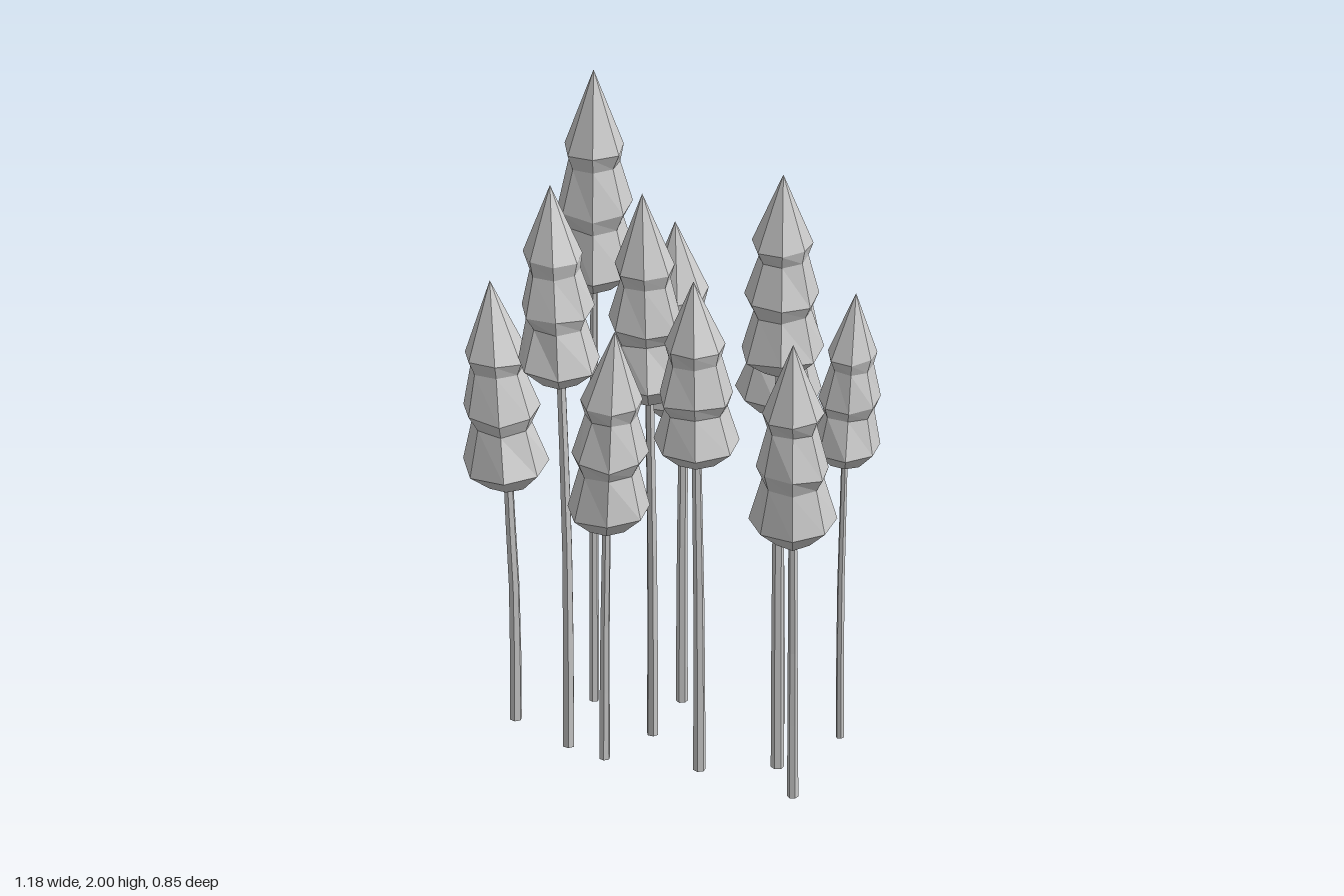
import * as THREE from 'three';

const material = new THREE.MeshStandardMaterial({ color: 0xcccccc, flatShading: true });

// Crown profile as [radius fraction, height fraction]: three stacked tiers, bottom to tip
const CROWN = [[0, 0], [0.5, 0.005], [1, 0.095], [0.71, 0.3], [0.88, 0.37], [0.6, 0.57], [0.72, 0.64], [0, 1]];

// Each tree: trunk foot [x, z], crown base [x, y, z], tip [x, y, z], crown radius, trunk radius
const TREES = [
  [[-0.445, -0.17], [-0.47, 0.745, -0.17], [-0.52, 1.375, -0.2], 0.124, 0.018],
  [[-0.228, -0.295], [-0.228, 1.32, -0.29], [-0.23, 2.0, -0.298], 0.123, 0.014],
  [[0.02, -0.3], [0.025, 0.9, -0.31], [0.0, 1.51, -0.323], 0.117, 0.017],
  [[0.3, -0.17], [0.295, 1.0, -0.175], [0.335, 1.57, -0.195], 0.12, 0.017],
  [[0.475, -0.09], [0.49, 0.87, -0.093], [0.52, 1.4, -0.11], 0.1, 0.012],
  [[-0.055, -0.09], [-0.065, 1.07, -0.09], [-0.085, 1.71, -0.1], 0.118, 0.017],
  [[-0.29, -0.01], [-0.315, 1.15, -0.025], [-0.345, 1.745, -0.075], 0.118, 0.018],
  [[-0.185, 0.065], [-0.178, 0.745, 0.09], [-0.155, 1.37, 0.095], 0.121, 0.016],
  [[0.085, 0.125], [0.076, 0.975, 0.12], [0.068, 1.545, 0.118], 0.122, 0.018],
  [[0.305, 0.1], [0.316, 1.265, 0.1], [0.322, 1.88, 0.1], 0.117, 0.019],
  [[0.355, 0.283], [0.356, 0.82, 0.303], [0.358, 1.455, 0.325], 0.12, 0.016],
];

// Seeded value in -1..1
function noise(n) {
  const s = Math.sin(n * 127.1 + 11.7) * 43758.5453;
  return 2 * (s - Math.floor(s)) - 1;
}

// Turned solid whose rings follow a bent axis, with small irregularities
function bentLathe(profile, sides, axisAt, seed, jitter) {
  const points = profile.map(([r, y]) => new THREE.Vector2(r, y));
  const geometry = new THREE.LatheGeometry(points, sides, seed * 0.9);
  const pos = geometry.attributes.position;
  const rings = profile.length;
  for (let i = 0; i < pos.count; i++) {
    const ring = i % rings;
    const [r, y] = profile[ring];
    const side = Math.floor(i / rings) % sides;
    const key = seed * 97 + ring * 13 + side;
    const k = 1 + jitter * noise(key);
    const [ax, az] = axisAt(y);
    const lift = r > 0 ? r * jitter * noise(key + 500) : 0;
    pos.setXYZ(i, ax + pos.getX(i) * k, y + lift, az + pos.getZ(i) * k);
  }
  geometry.computeVertexNormals();
  return geometry;
}

function createTree([foot, base, tip, radius, trunkRadius], index) {
  const tree = new THREE.Group();
  tree.name = `tree${index + 1}`;
  const height = tip[1] - base[1];
  const seed = index + 1;

  // Tiered crown leaning from its base to its tip
  const crownAxis = (y) => {
    const t = (y - base[1]) / height;
    return [base[0] + (tip[0] - base[0]) * t, base[2] + (tip[2] - base[2]) * t];
  };
  const crownProfile = CROWN.map(([r, h]) => [r * radius * 1.02, base[1] + h * height]);
  const crown = new THREE.Mesh(bentLathe(crownProfile, 7, crownAxis, seed, 0.06), material);
  crown.name = 'crown';

  // Slim trunk, bending mostly near the top, ending inside the crown
  const trunkTop = base[1] + 0.1;
  const trunkAxis = (y) => {
    const t = Math.min(1, y / base[1]) ** 3;
    return [foot[0] + (base[0] - foot[0]) * t, foot[1] + (base[2] - foot[1]) * t];
  };
  const trunkProfile = [[0, 0]];
  for (let i = 0; i <= 4; i++) {
    trunkProfile.push([trunkRadius * (1 - 0.06 * i), (trunkTop * i) / 4]);
  }
  const trunk = new THREE.Mesh(bentLathe(trunkProfile, 6, trunkAxis, seed, 0), material);
  trunk.name = 'trunk';

  tree.add(trunk, crown);
  return tree;
}

export function createModel() {
  const grove = new THREE.Group();
  grove.name = 'grove';
  TREES.forEach((spec, i) => grove.add(createTree(spec, i)));
  return grove;
}
